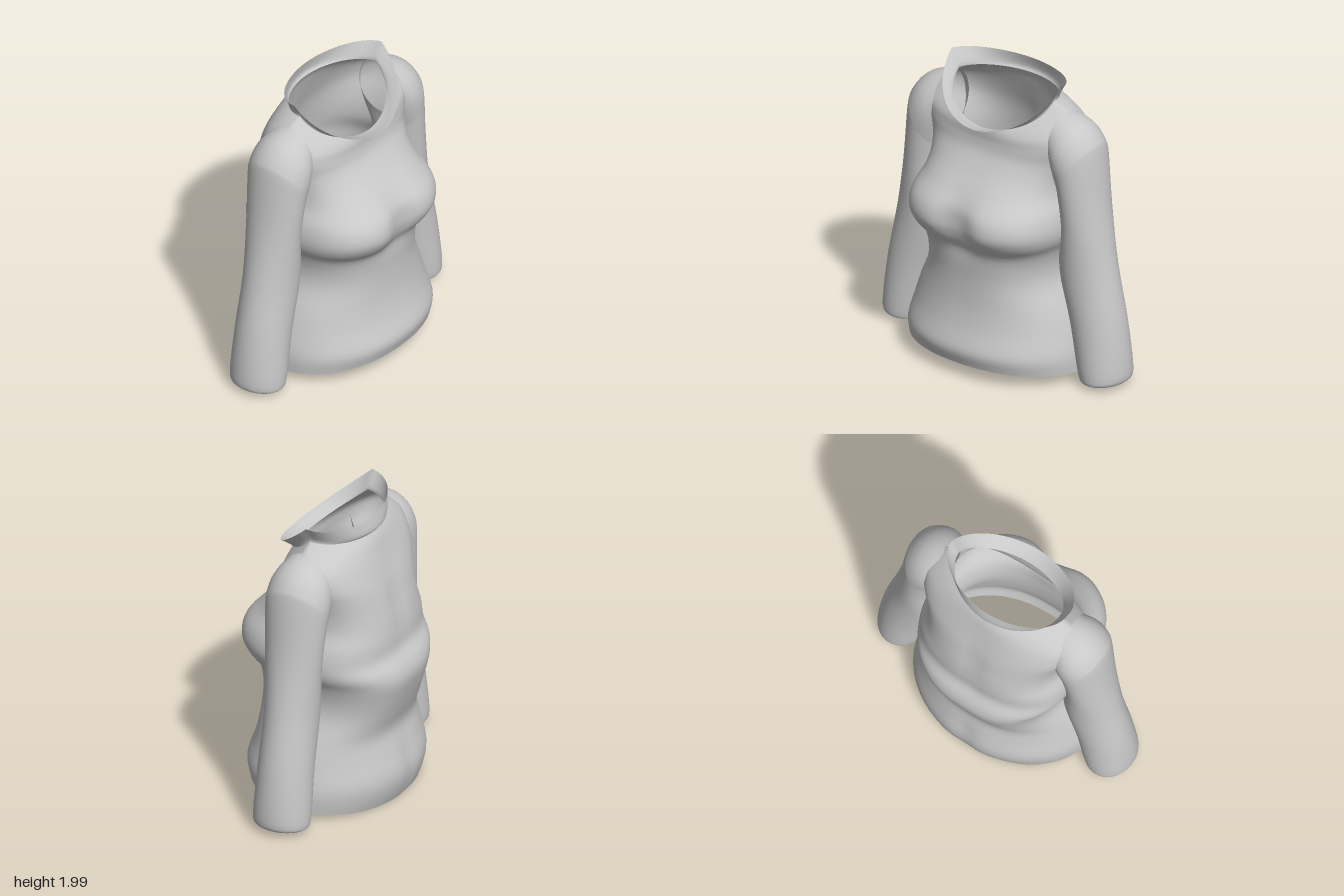
import * as THREE from 'three';

const { lerp, smoothstep } = THREE.MathUtils;

// Catmull-Rom blend of a table of rows, t in 0..1
function sampleRows(rows, t) {
  const f = t * (rows.length - 1);
  const i = Math.min(Math.floor(f), rows.length - 2);
  const u = f - i;
  const at = (k) => rows[Math.max(0, Math.min(rows.length - 1, k))];
  return rows[i].map((b, k) => {
    const a = at(i - 1)[k], c = at(i + 1)[k], d = at(i + 2)[k];
    return b + 0.5 * u * (c - a + u * (2 * a - 5 * b + 4 * c - d + u * (3 * (b - c) + d - a)));
  });
}

// Open tube through closed rings; pointAt(row, angle) gives each vertex
function loft(name, rows, steps, segments, pointAt, material) {
  const positions = [], index = [];
  const count = (rows.length - 1) * steps;
  for (let i = 0; i <= count; i++) {
    const row = sampleRows(rows, i / count);
    for (let j = 0; j < segments; j++) positions.push(...pointAt(row, (j / segments) * Math.PI * 2));
  }
  for (let i = 0; i < count; i++) {
    for (let j = 0; j < segments; j++) {
      const a = i * segments + j, b = i * segments + (j + 1) % segments;
      index.push(a, b, a + segments, b, b + segments, a + segments);
    }
  }
  const geometry = new THREE.BufferGeometry();
  geometry.setAttribute('position', new THREE.Float32BufferAttribute(positions, 3));
  geometry.setIndex(index);
  geometry.computeVertexNormals();
  const mesh = new THREE.Mesh(geometry, material);
  mesh.name = name;
  return mesh;
}

const bell = (v, width) => Math.exp(-((v / width) ** 2));

// Body ring: height at the side, half width, front depth, back depth
function bodyPoint([height, width, front, back], angle) {
  const s = Math.sin(angle), c = Math.cos(angle);
  // Rounded hips, squarish bust and upper back, lens-shaped neck
  const bust = bell(height - 1.09, 0.17);
  const waist = smoothstep(height, 0.3, 0.8);
  const trunk = c > 0 ? 2.2 + 0.25 * waist + 0.35 * bust : 2 + 0.7 * waist;
  const square = lerp(trunk, 1.9, smoothstep(height, 1.55, 1.88));
  const x = width * Math.sign(s) * Math.abs(s) ** (2 / square);
  const depth = Math.abs(c) ** (2 / square);
  // The neckline drops towards the front, the hem dips at the back
  const drop = 0.75 * Math.max(0, height - 1.4) ** 1.8;
  const hem = bell(Math.max(0, height - 0.07), 0.12);
  const shift = c > 0 ? 0.04 * hem - drop : -0.06 * hem - 0.12 * drop;
  const z = c > 0
    ? front * depth - 0.075 * bust * bell(x, 0.13)
    : 0.02 * (bell(height - 1.4, 0.25) + bell(height - 0.25, 0.15)) * bell(x, 0.07) - back * depth;
  return [x, height + shift * Math.abs(c), z];
}

// Sleeve ring: outer point, inner point, half depth
const sleevePoint = (side) => ([outX, outY, inX, inY, depth], angle) => {
  const k = (Math.sin(side * angle) + 1) / 2;
  return [side * (inX + (outX - inX) * k), inY + (outY - inY) * k, depth * Math.cos(angle) - 0.015];
};

export function createModel() {
  const model = new THREE.Group();
  model.name = 'sweater';
  const knit = new THREE.MeshStandardMaterial({ color: 0xc8c8c8, side: THREE.DoubleSide });
  knit.name = 'grey knit';

  // Torso from hem over the shoulders to the neckline
  const torso = [
    [0.07, 0.645, 0.515, 0.48],
    [0.2, 0.645, 0.54, 0.525],
    [0.36, 0.605, 0.49, 0.485],
    [0.5, 0.555, 0.46, 0.45],
    [0.65, 0.485, 0.45, 0.49],
    [0.77, 0.47, 0.455, 0.525],
    [0.89, 0.495, 0.475, 0.55],
    [0.98, 0.54, 0.54, 0.53],
    [1.07, 0.555, 0.575, 0.475],
    [1.18, 0.54, 0.55, 0.465],
    [1.29, 0.5, 0.45, 0.45],
    [1.4, 0.5, 0.35, 0.425],
    [1.52, 0.53, 0.28, 0.395],
    [1.64, 0.575, 0.26, 0.355],
    [1.75, 0.58, 0.26, 0.32],
    [1.83, 0.49, 0.26, 0.295],
    [1.88, 0.385, 0.26, 0.27],
  ];
  model.add(loft('torso', torso, 4, 80, bodyPoint, knit));

  // Collar band, standing at the back and flaring out at the front
  const collar = [
    [1.88, 0.385, 0.255, 0.27],
    [1.91, 0.39, 0.3, 0.285],
    [2.0, 0.445, 0.355, 0.265],
  ];
  model.add(loft('collar', collar, 3, 64, bodyPoint, knit));

  // Sleeves from the tucked cuff up, narrowing into the shoulder
  const sleeve = [
    [0.9, 0.055, 0.69, 0.045, 0.125],
    [0.935, 0.05, 0.65, 0.04, 0.175],
    [0.957, 0.12, 0.62, 0.1, 0.19],
    [0.922, 0.45, 0.55, 0.42, 0.18],
    [0.85, 0.82, 0.46, 0.76, 0.175],
    [0.78, 1.22, 0.49, 1.08, 0.19],
    [0.735, 1.6, 0.475, 1.28, 0.21],
    [0.705, 1.69, 0.47, 1.32, 0.215],
    [0.64, 1.765, 0.465, 1.36, 0.215],
    [0.56, 1.81, 0.46, 1.4, 0.205],
    [0.47, 1.835, 0.45, 1.45, 0.18],
  ];
  model.add(loft('leftSleeve', sleeve, 4, 40, sleevePoint(1), knit));
  model.add(loft('rightSleeve', sleeve, 4, 40, sleevePoint(-1), knit));

  return model;
}
